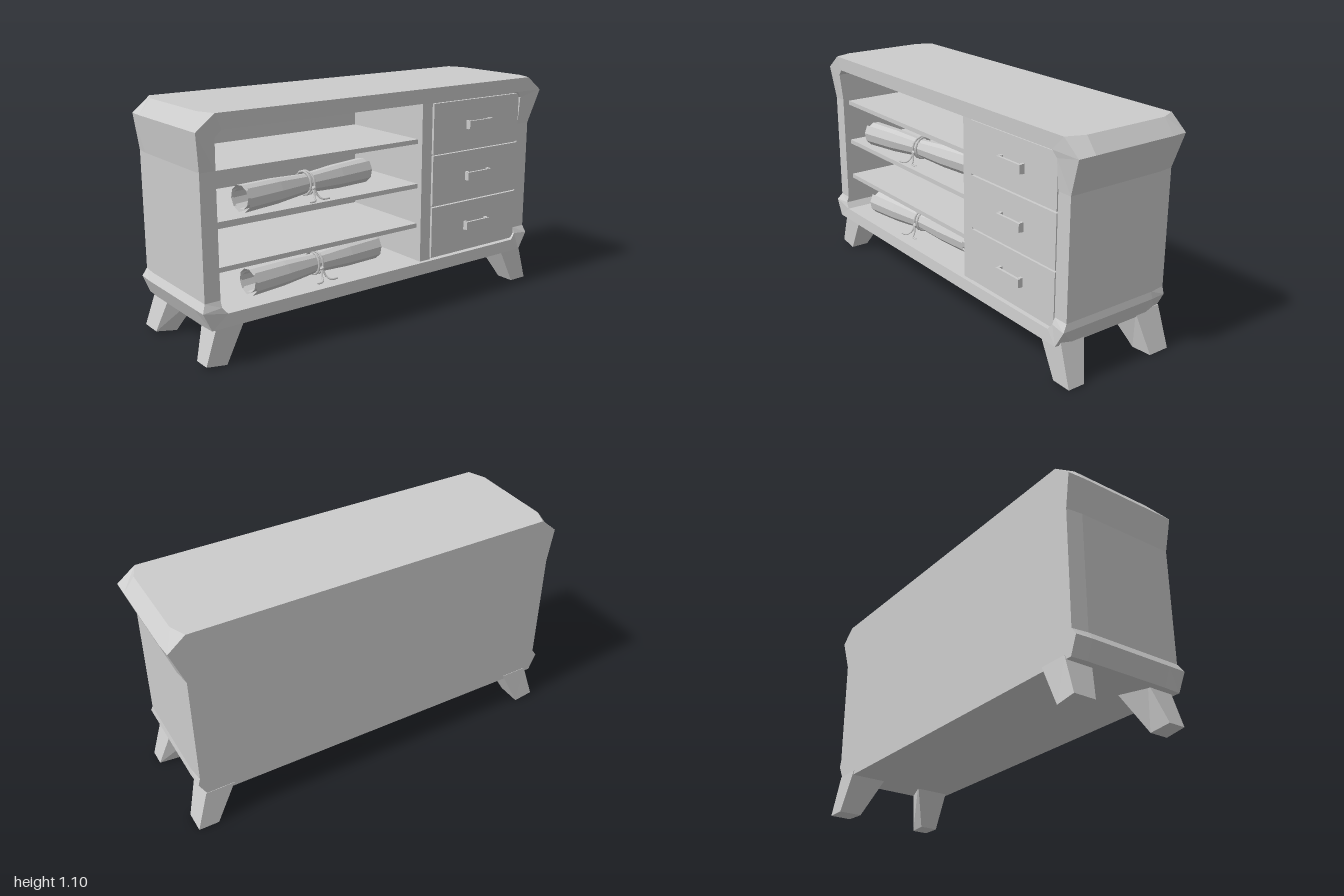
import * as THREE from 'three';

// Double-sided because the rolled paper is a single open sheet
const paintedWood = new THREE.MeshStandardMaterial({ color: 0xcccccc, side: THREE.DoubleSide });

// Skin a list of cross-sections with flat faces; optionally close the loops and cap the ends
function loft(rings, closed = true) {
  const pos = [];
  const tri = (a, b, c) => pos.push(...a, ...b, ...c);
  const n = rings[0].length;
  const last = closed ? n : n - 1;
  for (let r = 0; r < rings.length - 1; r++) {
    const p = rings[r], q = rings[r + 1];
    for (let i = 0; i < last; i++) {
      const j = (i + 1) % n;
      tri(p[i], p[j], q[j]);
      tri(p[i], q[j], q[i]);
    }
  }
  if (closed) {
    const centre = ring => [0, 1, 2].map(k => ring.reduce((s, p) => s + p[k], 0) / n);
    const first = rings[0], end = rings[rings.length - 1];
    for (let i = 0; i < n; i++) {
      const j = (i + 1) % n;
      tri(centre(first), first[j], first[i]);
      tri(centre(end), end[i], end[j]);
    }
  }
  const g = new THREE.BufferGeometry();
  g.setAttribute('position', new THREE.Float32BufferAttribute(pos, 3));
  g.computeVertexNormals();
  return g;
}

function add(parent, name, geometry) {
  const mesh = new THREE.Mesh(geometry, paintedWood);
  mesh.name = name;
  parent.add(mesh);
  return mesh;
}

// Box given by its minimum and maximum corners
function box(parent, name, x0, x1, y0, y1, z0, z1) {
  const m = add(parent, name, new THREE.BoxGeometry(x1 - x0, y1 - y0, z1 - z0));
  m.position.set((x0 + x1) / 2, (y0 + y1) / 2, (z0 + z1) / 2);
  return m;
}

// Cabinet ring: x values for the right and left sides, top to bottom
function cabinetRing(right, left, ys, zs) {
  const r = right.map((x, i) => [x, ys[i], zs[i]]);
  const l = left.map((x, i) => [-x, ys[i], zs[i]]);
  return [...r, ...l.reverse()];
}

function cabinet() {
  const outerY = [1.1, 1.03, 0.86, 0.3, 0.265, 0.18];
  const innerY = [1.03, 1.0, 0.86, 0.3, 0.27, 0.24];
  const flat = z => Array(6).fill(z);
  const inR = [0.84, 0.865, 0.865, 0.865, 0.865, 0.84];
  const inL = [0.88, 0.91, 0.905, 0.905, 0.905, 0.88];
  const midR = [0.945, 1.0, 0.94, 0.94, 0.945, 0.91];
  const midL = [0.945, 1.0, 0.98, 0.98, 1.0, 0.965];
  return loft([
    cabinetRing(inR, inL, innerY, flat(-0.25)),
    cabinetRing(inR, inL, innerY, [0.3, 0.295, 0.283, 0.283, 0.295, 0.3]),
    cabinetRing([0.91, 1.0, 0.94, 0.94, 0.945, 0.895], [0.91, 1.0, 0.98, 0.98, 1.0, 0.96],
      outerY, [0.303, 0.303, 0.283, 0.283, 0.303, 0.303]),
    cabinetRing(midR, midL, outerY, flat(0.215)),
    cabinetRing(midR, midL, outerY, flat(-0.215)),
    cabinetRing([0.91, 0.995, 0.93, 0.93, 0.94, 0.895], [0.91, 0.995, 0.97, 0.97, 0.995, 0.96],
      outerY, flat(-0.295)),
  ]);
}

// Splayed, tapering leg with a wider inner top edge
function leg(sx, sz) {
  const zTop = sz > 0 ? 0.285 : 0.297, zFoot = sz > 0 ? 0.285 : 0.31;
  const shift = sx > 0 ? 0 : 0.015;
  const top = [[0.77, 0.1], [0.91, 0.155], [0.91, zTop], [0.77, zTop]]
    .map(([x, z]) => [sx * (x + shift), 0.2, sz * z]);
  const foot = [[0.87, 0.19], [0.97, 0.2], [0.97, zFoot], [0.87, zFoot]]
    .map(([x, z], i) => [sx * (x + shift), sx < 0 && (i === 1 || i === 2) ? 0.015 : 0, sz * z]);
  if (sx * sz < 0) { top.reverse(); foot.reverse(); }
  return loft([top, foot]);
}

// Rolled paper: a spiral sheet pinched in the middle, with a tied cord
function scroll(length) {
  const g = new THREE.Group();
  const rings = [[-0.5, 1], [-0.25, 0.94], [0, 0.72], [0.25, 0.92], [0.5, 0.97]].map(([t, s]) => {
    const ring = [];
    for (let i = 0; i <= 18; i++) {
      const a = i / 10 * Math.PI * 2 + 0.8;
      const r = (0.072 - 0.0016 * i) * s;
      ring.push([t * length, Math.cos(a) * r, Math.sin(a) * r]);
    }
    return ring;
  });
  add(g, 'rolledPaper', loft(rings, false));

  for (const dx of [-0.008, 0.008]) {
    const cord = add(g, 'cord', new THREE.TorusGeometry(0.055, 0.006, 5, 12));
    cord.rotation.set(0, Math.PI / 2 + dx * 8, 0);
    cord.position.x = dx;
  }
  const knot = add(g, 'knot', new THREE.IcosahedronGeometry(0.012, 0));
  knot.position.set(0, -0.015, 0.06);
  for (const s of [-1, 1]) {
    const path = new THREE.CatmullRomCurve3([
      new THREE.Vector3(0, -0.015, 0.062),
      new THREE.Vector3(s * 0.012, -0.05, 0.075),
      new THREE.Vector3(s * 0.025, -0.064, 0.095),
      new THREE.Vector3(s * 0.06, -0.065, 0.1),
    ]);
    add(g, 'cordTail', new THREE.TubeGeometry(path, 8, 0.005, 5));
  }
  return g;
}

export function createModel() {
  const model = new THREE.Group();
  model.name = 'sideboard';

  add(model, 'cabinet', cabinet());
  for (const sx of [1, -1]) for (const sz of [1, -1]) {
    add(model, sz > 0 ? 'frontLeg' : 'backLeg', leg(sx, sz));
  }

  // Open shelving and the upright beside the drawers
  for (const y of [0.84, 0.62, 0.42]) box(model, 'shelf', -0.906, 0.22, y - 0.011, y + 0.011, -0.25, 0.25);
  box(model, 'divider', 0.213, 0.275, 0.238, 1.032, -0.25, 0.28);
  box(model, 'drawerBacking', 0.27, 0.866, 0.238, 1.032, -0.25, 0.27);

  // Drawers with bracket handles
  for (const [y0, y1, h] of [[0.772, 1.02, 0.897], [0.512, 0.764, 0.637], [0.247, 0.504, 0.379]]) {
    const drawer = new THREE.Group();
    drawer.name = 'drawer';
    model.add(drawer);
    box(drawer, 'drawerFront', 0.281, 0.862, y0, y1, 0.2, 0.286);
    box(drawer, 'handleBar', 0.497, 0.655, h - 0.02, h + 0.02, 0.3, 0.312);
    for (const x of [0.497, 0.64]) {
      box(drawer, 'handlePost', x, x + 0.015, h - 0.022, h + 0.022, 0.28, 0.302);
    }
  }

  // Two rolled papers resting on the shelves
  for (const [x, y, z, turn] of [[-0.365, 0.7, 0.13, 0.157], [-0.335, 0.315, 0.15, 0.1]]) {
    const s = scroll(0.76);
    s.name = 'scroll';
    s.position.set(x, y, z);
    s.rotation.y = turn;
    model.add(s);
  }
  return model;
}
